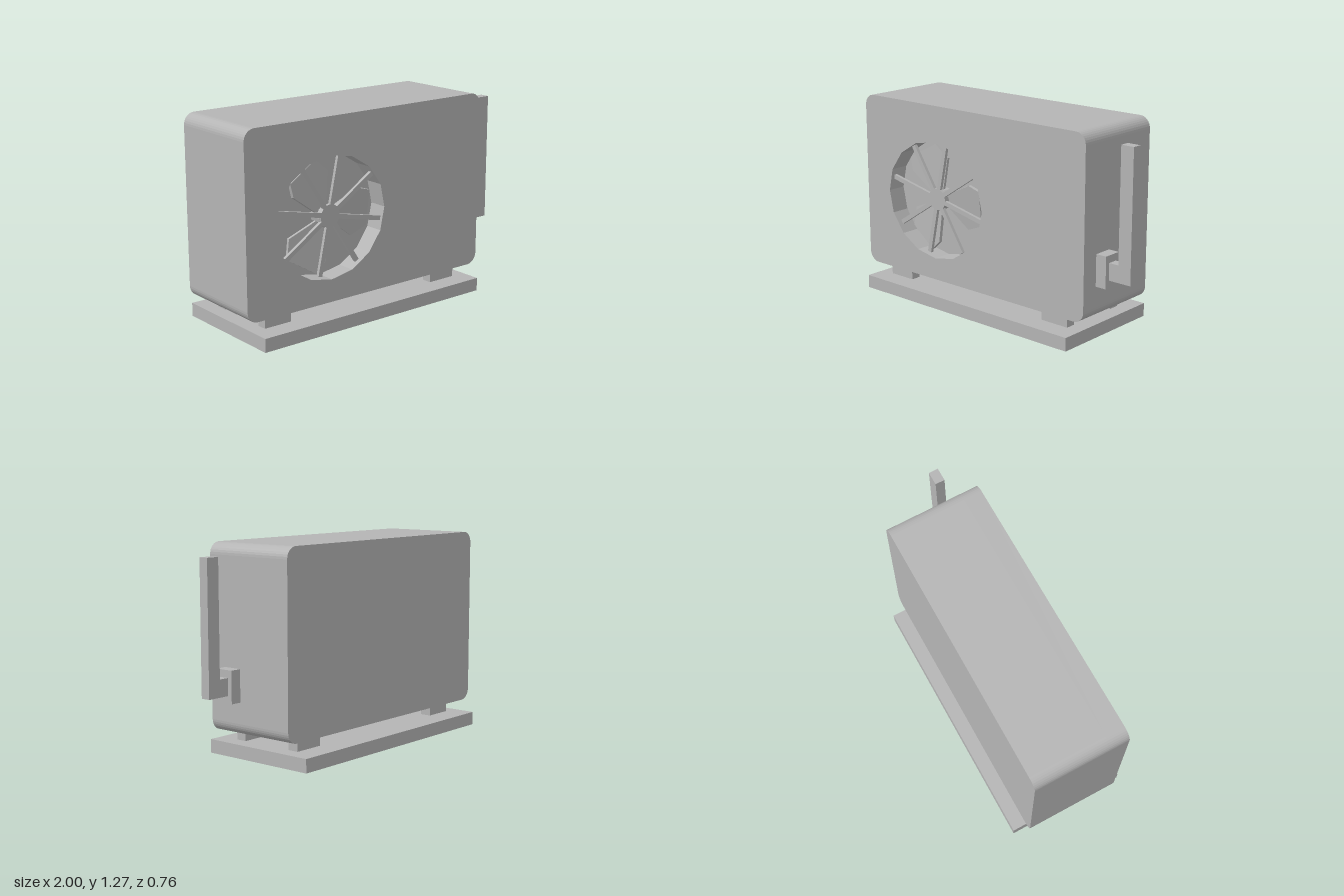
import * as THREE from 'three';

export function createModel() {
  const model = new THREE.Group();
  model.name = 'outdoorUnit';
  const grey = new THREE.MeshStandardMaterial({ color: 0xb4b4b4, flatShading: true });
  grey.name = 'grey';

  const add = (name, geometry, parent = model) => {
    const mesh = new THREE.Mesh(geometry, grey);
    mesh.name = name;
    parent.add(mesh);
    return mesh;
  };
  // Box given by its limits on each axis
  const box = (name, x0, x1, y0, y1, z0, z1) => {
    add(name, new THREE.BoxGeometry(x1 - x0, y1 - y0, z1 - z0))
      .position.set((x0 + x1) / 2, (y0 + y1) / 2, (z0 + z1) / 2);
  };
  const extrude = (shape, depth) =>
    new THREE.ExtrudeGeometry(shape, { depth, bevelEnabled: false, curveSegments: 4 });

  // Cabinet outline with rounded corners
  const outline = () => {
    const x0 = -1, x1 = 0.78, y0 = 0.157, y1 = 1.268, r = 0.07;
    const s = new THREE.Shape();
    s.moveTo(x0 + r, y0);
    s.lineTo(x1 - r, y0);
    s.absarc(x1 - r, y0 + r, r, -Math.PI / 2, 0);
    s.lineTo(x1, y1 - r);
    s.absarc(x1 - r, y1 - r, r, 0, Math.PI / 2);
    s.lineTo(x0 + r, y1);
    s.absarc(x0 + r, y1 - r, r, Math.PI / 2, Math.PI);
    s.lineTo(x0, y0 + r);
    s.absarc(x0 + r, y0 + r, r, Math.PI, Math.PI * 1.5);
    return s;
  };

  // Cabinet: solid rear and a front panel with a 16-sided fan opening
  const cx = -0.4, cy = 0.668, rx = 0.4, ry = 0.372, floorZ = 0.18;
  add('cabinetRear', extrude(outline(), floorZ + 0.3)).position.z = -0.3;
  const front = outline();
  const rim = [];
  for (let i = 0; i < 16; i++) {
    const a = -i * Math.PI / 8;
    rim.push(new THREE.Vector2(cx + rx * Math.cos(a), cy + ry * Math.sin(a)));
  }
  front.holes.push(new THREE.Path(rim));
  add('cabinetFront', extrude(front, 0.3 - floorZ)).position.z = floorZ;

  // Grille: eight spokes and a hub, just inside the opening
  const grille = new THREE.Group();
  grille.name = 'grille';
  grille.position.set(cx + 0.005, cy + 0.008, 0.27);
  model.add(grille);
  for (let i = 0; i < 8; i++) {
    const a = THREE.MathUtils.degToRad(78 + i * 45);
    const length = 1 / Math.hypot(Math.cos(a) / rx, Math.sin(a) / ry) - 0.01;
    const spoke = add('grilleSpoke', new THREE.BoxGeometry(length, 0.028, 0.02), grille);
    spoke.position.set(Math.cos(a) * length / 2, Math.sin(a) * length / 2, 0);
    spoke.rotation.z = a;
  }
  add('grilleHub', new THREE.CylinderGeometry(0.07, 0.07, 0.02, 16), grille).rotation.x = Math.PI / 2;

  // Fan: three pitched blades on a hub
  const fan = new THREE.Group();
  fan.name = 'fan';
  fan.position.set(cx, cy, 0.225);
  model.add(fan);
  const blade = new THREE.Shape([
    [0.06, 40], [0.28, 28], [0.345, 18], [0.345, -20], [0.265, -38], [0.06, -40],
  ].map(([r, d]) => {
    const a = THREE.MathUtils.degToRad(d);
    return new THREE.Vector2(r * Math.cos(a), r * Math.sin(a));
  }).reverse());
  for (let i = 0; i < 3; i++) {
    const g = extrude(blade, 0.02);
    g.translate(0, 0, -0.01);
    g.rotateX(0.12);
    g.rotateZ(i * Math.PI * 2 / 3);
    add('fanBlade', g, fan);
  }
  add('fanHub', new THREE.CylinderGeometry(0.065, 0.065, 0.08, 16), fan).rotation.x = Math.PI / 2;

  // Base slab and four feet
  box('baseSlab', -0.94, 0.72, 0, 0.083, -0.38, 0.38);
  for (const [x0, x1] of [[-0.85, -0.665], [0.43, 0.625]]) {
    for (const [z0, z1] of [[0.185, 0.25], [-0.23, -0.16]]) box('foot', x0, x1, 0.083, 0.16, z0, z1);
  }

  // Side valve and L-shaped pipe
  box('valve', 0.775, 0.85, 0.355, 0.55, 0.07, 0.188);
  const pipe = new THREE.Shape([
    [0.85, 0.4], [1, 0.4], [1, 1.2], [0.914, 1.2], [0.914, 0.505], [0.85, 0.505],
  ].map(([x, y]) => new THREE.Vector2(x, y)));
  add('pipe', extrude(pipe, 0.06)).position.z = 0.098;

  return model;
}
